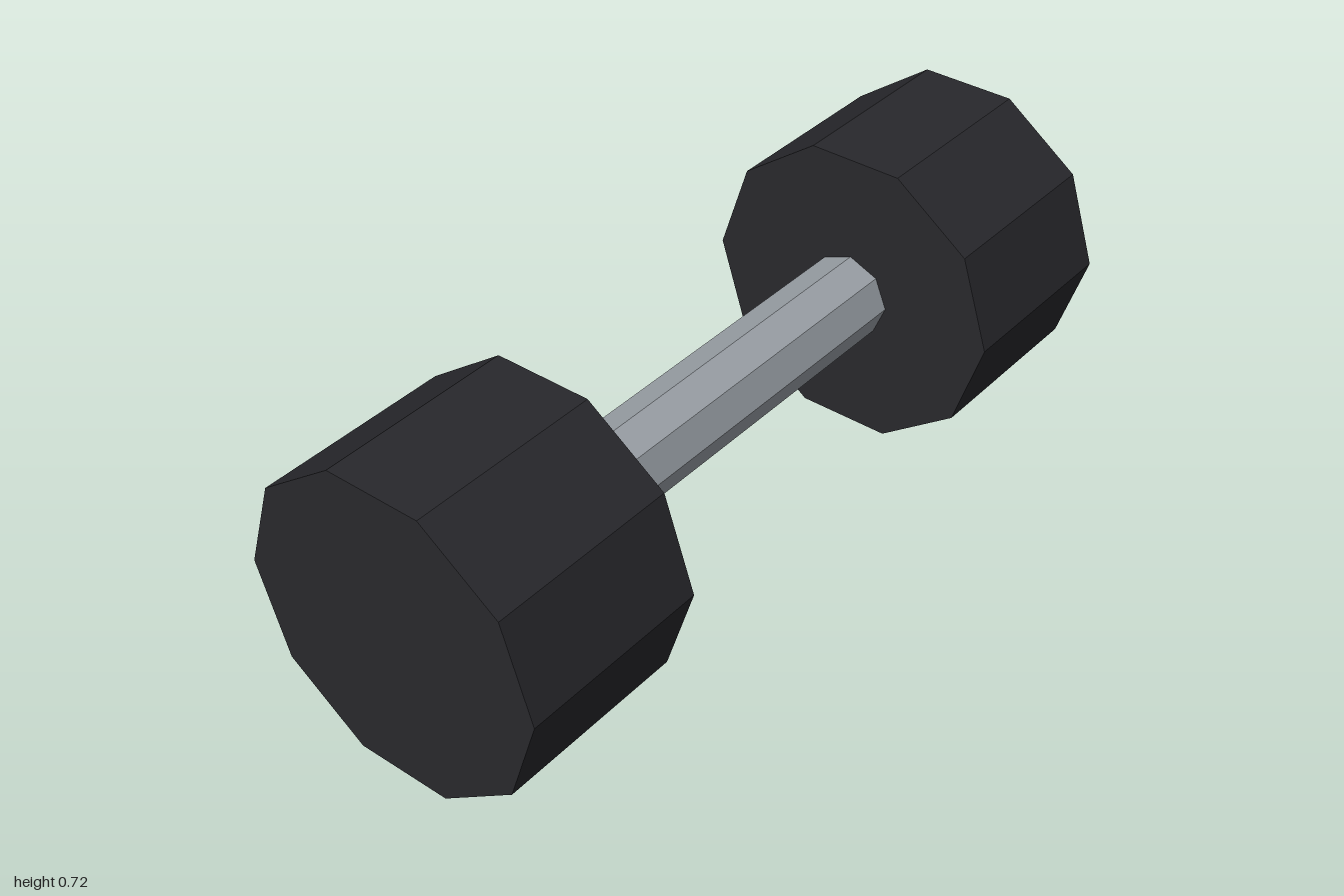
import * as THREE from 'three';

const AXIS_Y = 0.3625;

// Low-poly prism lying along x, with a corner pointing to the front
function bar(name, radius, length, sides, x, color) {
  const geometry = new THREE.CylinderGeometry(radius, radius, length, sides);
  geometry.rotateZ(Math.PI / 2);
  const material = new THREE.MeshStandardMaterial({ color, flatShading: true });
  const mesh = new THREE.Mesh(geometry, material);
  mesh.name = name;
  mesh.position.set(x, AXIS_Y, 0);
  return mesh;
}

export function createModel() {
  const group = new THREE.Group();
  group.name = 'dumbbell';

  // Octagonal steel grip, sunk slightly into the weights
  group.add(bar('handle', 0.105, 1.1, 8, 0, 0x9aa0a6));

  // Ten-sided weights at both ends
  for (const side of [-1, 1]) {
    const name = side > 0 ? 'leftWeight' : 'rightWeight';
    group.add(bar(name, 0.381, 0.47, 10, side * 0.765, 0x28282c));
  }
  return group;
}
